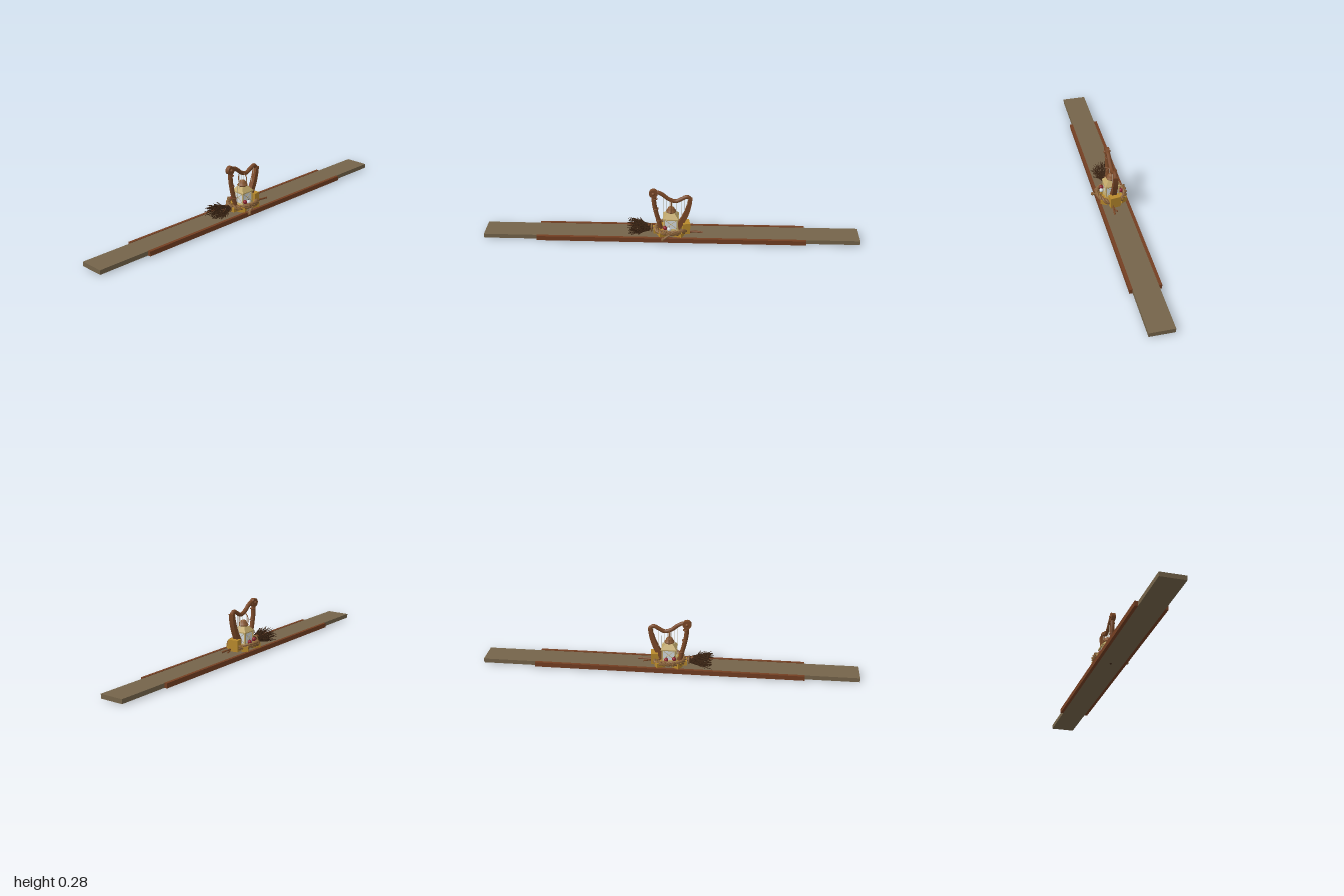
import * as THREE from 'three';

const CX = -0.008; // centre line of the plank and everything on it
const TOP = 0.027; // plank surface
const mat = (color) => new THREE.MeshStandardMaterial({ color });
const M = {
  plank: mat(0x75644a), rail: mat(0x743f22), harp: mat(0x7a4827), dark: mat(0x3a2413),
  gold: mat(0xb98a2c), brass: mat(0xbfa668), cap: mat(0x8a5a34), glass: mat(0xd3dade),
  rope: mat(0x8a6238), apple: mat(0x8f2430), string: mat(0xcfc8b4),
};
const V = (p) => new THREE.Vector3(...p);

function add(parent, name, geo, material, pos = [0, 0, 0], rot = [0, 0, 0]) {
  const m = new THREE.Mesh(geo, material);
  m.name = name;
  m.position.set(...pos);
  m.rotation.set(...rot);
  parent.add(m);
  return m;
}
const box = (x, y, z) => new THREE.BoxGeometry(x, y, z);
const cyl = (a, b, h, n = 16) => new THREE.CylinderGeometry(a, b, h, n);
const ball = (r) => new THREE.SphereGeometry(r, 18, 12);
const tube = (pts, r, n = 40, closed = false) =>
  new THREE.TubeGeometry(new THREE.CatmullRomCurve3(pts.map(V), closed), n, r, 8, closed);
// straight rod between two points
function rod(parent, name, a, b, r, material) {
  const d = V(b).sub(V(a));
  const m = add(parent, name, cyl(r, r, d.length(), 8), material);
  m.position.copy(V(a)).addScaledVector(d, 0.5);
  m.quaternion.setFromUnitVectors(new THREE.Vector3(0, 1, 0), d.normalize());
}
function part(parent, name, pos) {
  const g = new THREE.Group();
  g.name = name;
  g.position.set(...pos);
  parent.add(g);
  return g;
}

function makeHarp(root) {
  const g = part(root, 'harp', [CX, 0, 0]);
  const zy = (list) => list.map(([z, y]) => [0, y, z]);
  const neck = zy([[0.092, 0.258], [0.07, 0.262], [0.045, 0.25], [0.012, 0.224],
    [-0.025, 0.212], [-0.055, 0.226], [-0.085, 0.24], [-0.103, 0.226]]);
  add(g, 'harpNeck', tube(neck, 0.011), M.harp);
  add(g, 'harpPillar', tube(zy([[0.092, 0.25], [0.09, 0.2], [0.079, 0.14], [0.066, 0.09],
    [0.055, 0.04]]), 0.012), M.harp);
  // scroll at the top of the pillar
  add(g, 'scroll', cyl(0.023, 0.023, 0.022, 24), M.harp, [0, 0.257, 0.093], [0, 0, Math.PI / 2]);
  for (const s of [-1, 1])
    add(g, 'scrollBoss', ball(0.009), M.harp, [s * 0.01, 0.257, 0.093]);
  // pillar collars
  [[0.086, 0.225], [0.081, 0.165], [0.066, 0.095]].forEach(([z, y]) =>
    add(g, 'collar', new THREE.TorusGeometry(0.012, 0.003, 8, 18), M.harp, [0, y, z], [Math.PI / 2, 0, 0]));
  // sound box widening towards the foot
  const shape = new THREE.Shape();
  shape.moveTo(-0.112, 0.23);
  shape.quadraticCurveTo(-0.105, 0.13, -0.045, 0.045);
  shape.lineTo(-0.015, 0.055);
  shape.quadraticCurveTo(-0.075, 0.13, -0.093, 0.23);
  const sound = new THREE.ExtrudeGeometry(shape, { depth: 0.026, bevelEnabled: false, curveSegments: 16 });
  sound.translate(0, 0, -0.013);
  add(g, 'soundBox', sound, M.harp, [0, 0, 0], [0, -Math.PI / 2, 0]);
  add(g, 'harpFoot', box(0.036, 0.018, 0.11), M.harp, [0, 0.041, 0.01]);
  // strings
  const curve = new THREE.CatmullRomCurve3(neck.map(V));
  for (let i = 0; i < 9; i++) {
    const p = curve.getPoint(0.3 + i * 0.07);
    const low = p.z > -0.02 ? 0.06 : 0.06 + (-p.z - 0.02) * 1.6;
    rod(g, 'string', [0, low, p.z], [0, p.y, p.z], 0.0009, M.string);
  }
}

function makeLantern(root) {
  const g = part(root, 'lantern', [CX, 0, 0]);
  const square = (top, bottom, h) => cyl(top * Math.SQRT2, bottom * Math.SQRT2, h, 4).rotateY(Math.PI / 4).toNonIndexed();
  const flat = (geo) => { geo.computeVertexNormals(); return geo; };
  add(g, 'lanternBase', flat(square(0.038, 0.045, 0.03)), M.brass, [0, 0.045, 0]);
  add(g, 'glass', box(0.067, 0.058, 0.067), M.glass, [0, 0.088, 0]);
  for (const x of [-1, 1]) for (const z of [-1, 1])
    add(g, 'post', box(0.007, 0.06, 0.007), M.brass, [x * 0.034, 0.089, z * 0.034]);
  // crossed guard wires on all four sides
  for (let i = 0; i < 4; i++) {
    const side = part(g, 'guard', [0, 0, 0]);
    side.rotation.y = i * Math.PI / 2;
    for (const s of [-1, 1])
      rod(side, 'guardWire', [-0.032 * s, 0.063, 0.035], [0.032 * s, 0.116, 0.035], 0.0013, M.brass);
  }
  add(g, 'eaves', box(0.083, 0.006, 0.083), M.brass, [0, 0.119, 0]);
  add(g, 'roof', flat(square(0.019, 0.041, 0.026)), M.brass, [0, 0.134, 0]);
  const cap = [[0.0, 0.143], [0.018, 0.144], [0.026, 0.151], [0.026, 0.156], [0.02, 0.16],
    [0.019, 0.168], [0.013, 0.177], [0, 0.18]].map(([x, y]) => new THREE.Vector2(x, y));
  add(g, 'cap', new THREE.LatheGeometry(cap, 24), M.cap);
  // carrying hoop
  add(g, 'hoop', tube([[-0.024, 0.153, 0], [-0.03, 0.178, 0], [-0.025, 0.205, 0], [0, 0.22, 0],
    [0.025, 0.205, 0], [0.03, 0.178, 0], [0.024, 0.153, 0]], 0.0023), M.cap);
}

function makeRope(root) {
  const g = part(root, 'rope', [CX, 0, 0]);
  // intertwined strands forming a loose ring
  for (let s = 0; s < 3; s++) {
    const pts = [];
    for (let i = 0; i < 48; i++) {
      const a = i / 48 * Math.PI * 2, t = a * 7 + s * Math.PI * 2 / 3;
      const r = 0.073 + 0.007 * Math.cos(t);
      pts.push([r * Math.cos(a), 0.052 + 0.009 * Math.sin(t) + 0.005 * Math.cos(2 * a), r * 1.08 * Math.sin(a)]);
    }
    add(g, 'ropeStrand', tube(pts, 0.0058, 160, true), M.rope);
  }
  // tail hanging over the rail, with a knot
  add(g, 'ropeTail', tube([[0.07, 0.052, -0.01], [0.08, 0.046, 0.012], [0.083, 0.035, 0.028],
    [0.09, 0.028, 0.04]], 0.006), M.rope);
  add(g, 'knot', new THREE.TorusKnotGeometry(0.006, 0.0032, 48, 6), M.rope, [0.09, 0.027, 0.042]);
  for (const s of [-1, 1])
    add(g, 'knot', new THREE.TorusKnotGeometry(0.008, 0.004, 48, 6), M.rope, [s * 0.07, 0.058, 0.03]);
}

function makeBroom(root) {
  const g = part(root, 'broom', [CX, 0, 0]);
  let seed = 7;
  const rnd = () => (seed = (seed * 16807) % 2147483647) / 2147483647;
  add(g, 'broomHandle', tube([[-0.002, 0.05, 0.15], [0.006, 0.042, 0], [0.018, 0.035, -0.17]], 0.005), M.harp);
  add(g, 'broomHead', ball(0.021), M.harp, [0, 0.05, 0.125]);
  add(g, 'binding', new THREE.TorusGeometry(0.019, 0.004, 8, 20), M.rope, [0, 0.05, 0.105]);
  // twigs flaring out from the binding
  for (let i = 0; i < 190; i++) {
    const a = i * 2.39996, c = Math.cos(a), s = Math.sin(a);
    const out = 0.03 + 0.034 * rnd(), end = 0.16 + 0.075 * rnd();
    const y = (r) => Math.max(TOP + 0.002, 0.052 + r * s * 0.72);
    const wob = 0.012 * (rnd() - 0.5);
    const geo = new THREE.TubeGeometry(new THREE.CatmullRomCurve3([
      new THREE.Vector3(0.015 * c, y(0.015), 0.1),
      new THREE.Vector3(0.029 * c + wob, y(0.029), 0.14),
      new THREE.Vector3(out * c - wob, y(out), end)]), 5, 0.0012, 4);
    add(g, 'twig', geo, M.dark);
  }
}

export function createModel() {
  const root = new THREE.Group();
  root.name = 'decoratedPlank';
  add(root, 'plank', box(0.13, 0.023, 2), M.plank, [CX, 0.0155, 0]);
  for (const s of [-1, 1])
    add(root, 'sideRail', box(0.016, 0.025, 1.43), M.rail, [CX + s * 0.073, 0.0165, 0]);

  // golden blocks heaped round the lantern: x, y, z, width, height, depth, turn
  [[0, 0.058, -0.08, 0.055, 0.062, 0.038, 0.15], [-0.045, 0.04, -0.045, 0.035, 0.028, 0.05, 0.5],
    [0.045, 0.04, -0.04, 0.035, 0.028, 0.05, -0.4], [-0.045, 0.04, 0.045, 0.04, 0.028, 0.045, -0.6],
    [0.042, 0.04, 0.045, 0.04, 0.028, 0.045, 0.5], [0, 0.038, 0.075, 0.05, 0.024, 0.04, 0.1]]
    .forEach(([x, y, z, w, h, d, turn]) =>
      add(root, 'goldenBlock', box(w, h, d), M.gold, [CX + x, y, z], [0, turn, 0]));

  makeLantern(root);
  makeHarp(root);
  makeRope(root);
  makeBroom(root);

  // fruit beside the lantern
  [[-0.047, 0.074, 0.03, M.apple], [0.047, 0.074, 0.03, M.apple], [-0.05, 0.068, -0.012, M.apple],
    [0.052, 0.07, 0.008, M.glass]].forEach(([x, y, z, m]) => {
    add(root, 'fruit', ball(0.011), m, [CX + x, y, z]);
    add(root, 'stem', cyl(0.001, 0.001, 0.008, 6), M.dark, [CX + x, y + 0.013, z]);
  });

  // loose stick and the peg showing under the plank
  rod(root, 'stick', [-0.01, 0.031, -0.14], [0.03, 0.031, -0.04], 0.004, M.harp);
  add(root, 'peg', ball(0.007), M.dark, [CX, 0.007, 0.06]);
  return root;
}
